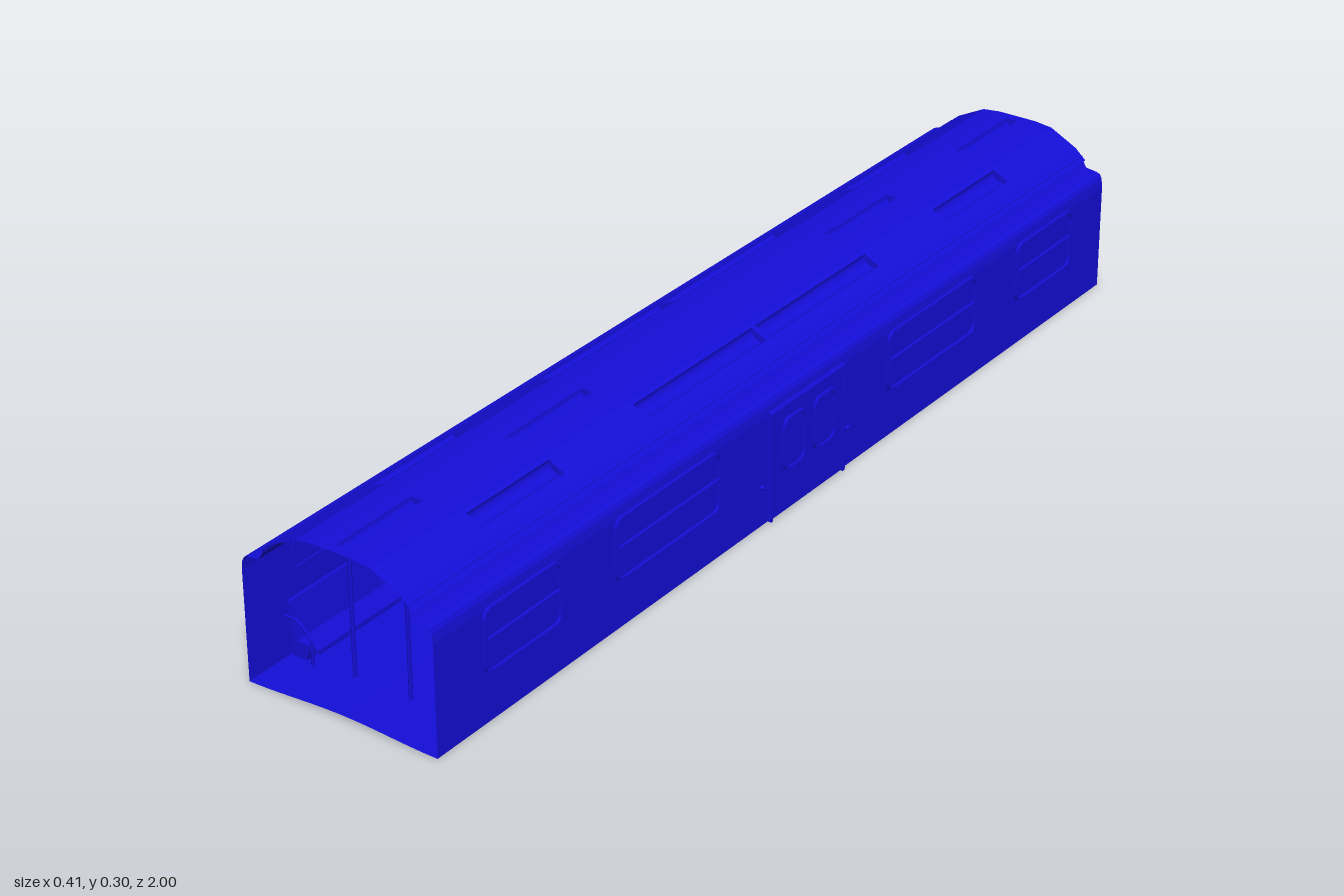
import * as THREE from 'three';

const mat = new THREE.MeshStandardMaterial({ color: 0x140ed8, side: THREE.DoubleSide });
const LENGTH = 2;

function add(parent, name, geo, x = 0, y = 0, z = 0) {
  const m = new THREE.Mesh(geo, mat);
  m.name = name;
  m.position.set(x, y, z);
  parent.add(m);
  return m;
}

// Sheet that carries an x,y profile along the full length of the car
function ribbon(pts) {
  const n = pts.length;
  let g = new THREE.PlaneGeometry(1, LENGTH, n - 1, 1);
  const p = g.attributes.position;
  for (let i = 0; i < p.count; i++) {
    const [x, y] = pts[i % n];
    p.setXYZ(i, x, y, i < n ? 1 : -1);
  }
  g = g.toNonIndexed();
  g.computeVertexNormals();
  return g;
}

// Rounded rectangle centred on the origin
function roundRect(w, h, r, Type = THREE.Shape) {
  const s = new Type(), a = w / 2, b = h / 2;
  s.moveTo(-a + r, -b);
  s.lineTo(a - r, -b).quadraticCurveTo(a, -b, a, -b + r);
  s.lineTo(a, b - r).quadraticCurveTo(a, b, a - r, b);
  s.lineTo(-a + r, b).quadraticCurveTo(-a, b, -a, b - r);
  s.lineTo(-a, -b + r).quadraticCurveTo(-a, -b, -a + r, -b);
  return s;
}

// Flat roof strip between two profile points, with sunken light troughs
function roofStrip(parent, p, q, slots = [], at = 0, r = 0, depth = 0) {
  const dx = q[0] - p[0], dy = q[1] - p[1], len = Math.hypot(dx, dy);
  const strip = new THREE.Group();
  strip.name = 'roofStrip';
  const u = new THREE.Vector3(dx / len, dy / len, 0), v = new THREE.Vector3(0, 0, -1);
  strip.setRotationFromMatrix(new THREE.Matrix4().makeBasis(u, v, u.clone().cross(v)));
  strip.position.set(p[0], p[1], 0);
  parent.add(strip);
  const s = new THREE.Shape([[0, -1], [len, -1], [len, 1], [0, 1]].map(c => new THREE.Vector2(...c)));
  for (const [a, b] of slots) {
    s.holes.push(new THREE.Path([[at - r, a], [at - r, b], [at + r, b], [at + r, a]].map(c => new THREE.Vector2(...c))));
    const t = add(strip, 'lightTrough',
      new THREE.CylinderGeometry(r, r, b - a, 10, 1, false, Math.PI / 2, Math.PI), at, (a + b) / 2, 0);
    t.scale.z = depth / r;
  }
  add(strip, 'roofPanel', new THREE.ShapeGeometry(s));
}

// Raised frame and pane on the side wall
function windowUnit(parent, name, w, h, z, y, x, depth, bar) {
  const g = new THREE.Group();
  g.name = name;
  g.position.set(x, y, z);
  g.rotation.y = Math.PI / 2;
  parent.add(g);
  const ring = roundRect(w, h, 0.02);
  ring.holes.push(roundRect(w - 0.01, h - 0.01, 0.017, THREE.Path));
  add(g, 'windowFrame', new THREE.ExtrudeGeometry(ring, { depth, bevelEnabled: false, curveSegments: 5 }));
  add(g, 'windowPane', new THREE.ShapeGeometry(roundRect(w - 0.008, h - 0.008, 0.018)), 0, 0, depth * 0.4);
  if (bar) add(g, 'windowBar', new THREE.BoxGeometry(w - 0.01, 0.006, depth), 0, 0.002, depth / 2);
}

function pathTube(pts, r, closed) {
  const path = new THREE.CatmullRomCurve3(pts.map(([x, y]) => new THREE.Vector3(x, y, 0)), closed, 'catmullrom', 0.15);
  return new THREE.TubeGeometry(path, 24, r, 6, closed);
}

// Bench with backrest, base and end rails
function bench(parent, z, length) {
  const g = new THREE.Group();
  g.name = 'bench';
  g.position.z = z;
  parent.add(g);
  const slab = (name, pts) => {
    const s = new THREE.Shape(pts.map(p => new THREE.Vector2(...p)));
    add(g, name, new THREE.ExtrudeGeometry(s, { depth: length, bevelEnabled: false }), 0, 0, -length / 2);
  };
  slab('seat', [[0.125, 0.024], [0.18, 0.024], [0.18, 0.033], [0.125, 0.033]]);
  slab('backrest', [[0.172, 0.03], [0.179, 0.03], [0.189, 0.103], [0.183, 0.103]]);
  slab('seatBase', [[0.153, 0.004], [0.183, 0.003], [0.179, 0.026], [0.148, 0.026]]);
  for (const e of [-1, 1]) {
    add(g, 'armRail', pathTube([[0.191, 0.077], [0.168, 0.077], [0.158, 0.071], [0.14, 0.053], [0.137, 0.045], [0.137, 0]], 0.003, false),
      0, 0, e * (length / 2 + 0.004));
  }
  // Hanging hand loops above the bench
  const loop = pathTube([[0.13, 0.27], [0.093, 0.24], [0.09, 0.232], [0.097, 0.226], [0.106, 0.229], [0.108, 0.236]], 0.002, true);
  for (let i = 0; i < 6; i++) add(g, 'handLoop', loop, 0, 0, length * ((i + 0.5) / 6 - 0.5));
}

function doorway(parent) {
  const g = new THREE.Group();
  g.name = 'doorway';
  parent.add(g);
  for (const s of [-1, 1]) {
    add(g, 'doorLeaf', new THREE.BoxGeometry(0.008, 0.2, 0.104), 0.194, 0.105, s * 0.053);
    windowUnit(g, 'doorWindow', 0.066, 0.102, s * 0.046, 0.134, 0.197, 0.007, false);
    add(g, 'doorPost', new THREE.BoxGeometry(0.01, 0.205, 0.006), 0.195, 0.104, s * 0.11);
    add(g, 'doorButton', new THREE.SphereGeometry(0.005, 8, 6), 0.193, 0.075, s * 0.13);
  }
  add(g, 'doorHeader', new THREE.BoxGeometry(0.01, 0.006, 0.226), 0.195, 0.207, 0);
}

function side() {
  const g = new THREE.Group();
  // Wall, shoulder and gutter under the roof edge
  add(g, 'sideWall', ribbon([[0.191, 0], [0.191, 0.205], [0.189, 0.222], [0.185, 0.23], [0.178, 0.233],
    [0.155, 0.236], [0.146, 0.25], [0.145, 0.258]]));
  doorway(g);
  for (const s of [-1, 1]) {
    windowUnit(g, 'wideWindow', 0.29, 0.118, s * 0.4, 0.148, 0.188, 0.009, true);
    windowUnit(g, 'narrowWindow', 0.196, 0.118, s * 0.785, 0.148, 0.188, 0.009, true);
    bench(g, s * 0.38, 0.32);
    bench(g, s * 0.74, 0.33);
    // Floor-to-ceiling poles
    for (const z of [0.45, 0.9]) {
      add(g, 'pole', new THREE.CylinderGeometry(0.0035, 0.0035, 0.3, 8), 0.057, 0.15, s * z);
    }
  }
  // Sloping roof with side lights
  const prof = [[0.04, 0.302], [0.075, 0.298], [0.13, 0.27], [0.152, 0.25]];
  roofStrip(g, prof[0], prof[1]);
  roofStrip(g, prof[1], prof[2], [[-0.78, -0.57], [-0.345, -0.005], [0.005, 0.345], [0.57, 0.78]], 0.026, 0.017, 0.013);
  roofStrip(g, prof[2], prof[3]);
  return g;
}

export function createModel() {
  const car = new THREE.Group();
  car.name = 'railCar';
  // Slightly cambered floor
  const floor = [];
  for (let i = 0; i <= 12; i++) {
    const t = i / 6 - 1;
    floor.push([0.191 * t, 0.008 * (0.5 + 0.5 * Math.cos(Math.PI * t))]);
  }
  add(car, 'floor', ribbon(floor));
  // Roof crown with centre lights
  roofStrip(car, [-0.04, 0.302], [0.04, 0.302], [[-0.98, -0.8], [-0.56, -0.36], [0.36, 0.56], [0.8, 0.98]], 0.04, 0.011, 0.014);
  // Both sides are the same half turned around
  const left = side(), right = side();
  left.name = 'leftSide';
  right.name = 'rightSide';
  right.rotation.y = Math.PI;
  car.add(left, right);
  return car;
}
